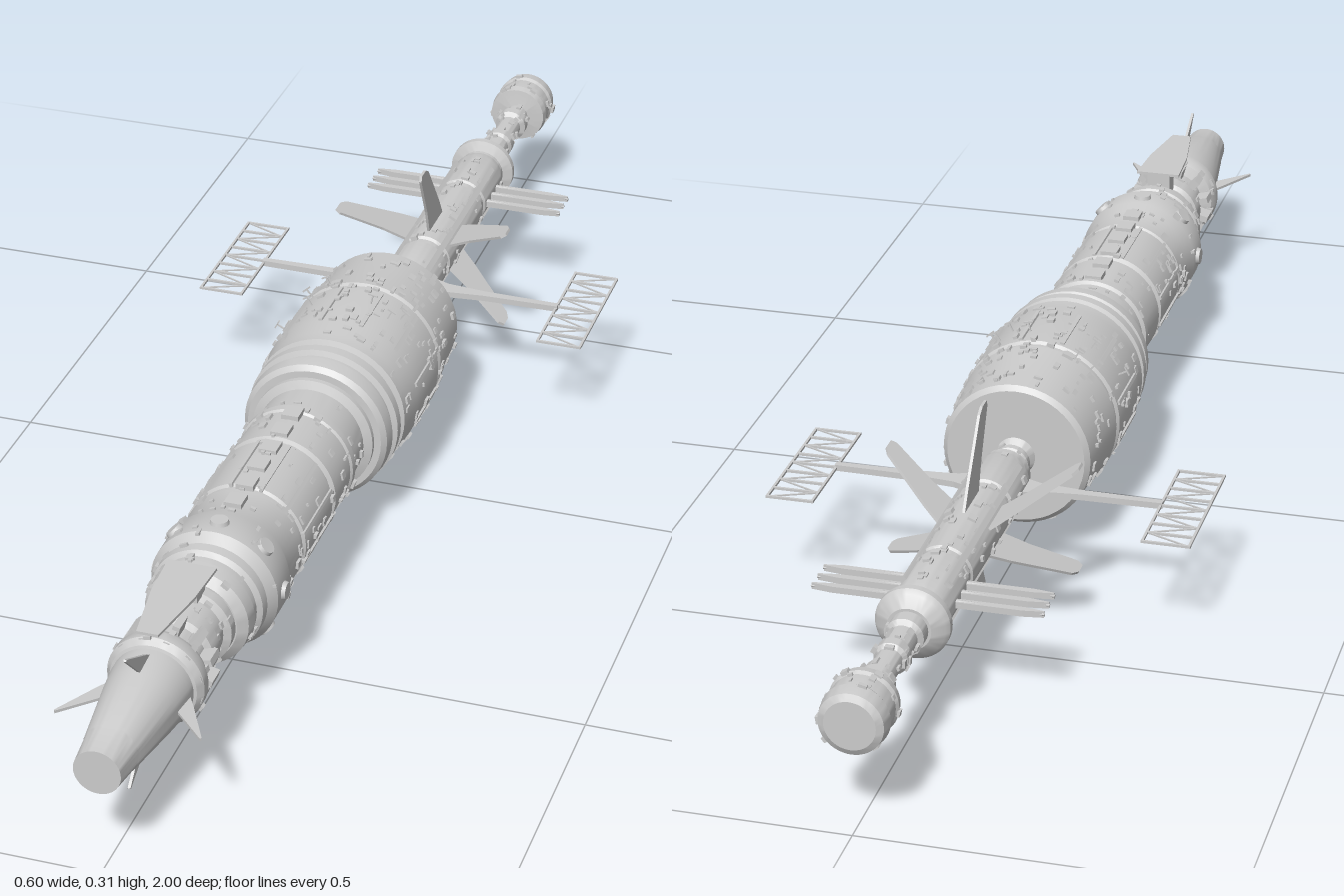
import * as THREE from 'three';
import { mergeGeometries, toCreasedNormals } from 'three/addons/utils/BufferGeometryUtils.js';

const AXIS = 0.157; // height of the long axis
const mat = new THREE.MeshStandardMaterial({ color: 0xcccccc, side: THREE.DoubleSide });

// Hull profiles as [z, radius], from back to front
const PROFILES = {
  tailCap: [[-1, 0], [-1, .034], [-.995, .043], [-.975, .046], [-.97, .043], [-.945, .043], [-.94, .046], [-.928, .044], [-.925, .02], [-.92, 0]],
  tailBoom: [[-.93, .018], [-.905, .018], [-.9, .025], [-.885, .025], [-.88, .018], [-.83, .018], [-.825, .023], [-.81, .023], [-.805, .019], [-.77, .019], [-.765, .026], [-.74, .026]],
  tailFlange: [[-.745, 0], [-.745, .03], [-.735, .046], [-.728, .051], [-.718, .051], [-.712, .036], [-.7, .036], [-.69, 0]],
  aftBody: [[-.72, 0], [-.71, .035], [-.69, .04], [-.6, .04], [-.597, .037], [-.585, .037], [-.582, .04], [-.5, .041], [-.4, .041], [-.397, .037], [-.385, .037], [-.382, .041], [-.3, .041], [-.285, .036], [-.275, .036], [-.27, 0]],
  neck: [[-.29, .03], [-.27, .03], [-.26, .016], [-.25, .026], [-.24, .026], [-.235, .018], [-.215, .034]],
  mainDrum: [[-.222, 0], [-.222, .1], [-.215, .107], [-.15, .111], [-.1, .116], [-.095, .113], [-.088, .113], [-.084, .117], [.02, .117], [.05, .113], [.07, .113], [.073, .105], [.082, .105], [.085, .112], [.1, .112], [.103, .104], [.112, .104], [.115, .109], [.135, .107], [.142, .1], [.145, 0]],
  midBody: [[.13, .09], [.15, .09], [.155, .078], [.21, .08], [.213, .085], [.225, .085], [.228, .082], [.3, .084], [.303, .078], [.312, .078], [.315, .084], [.43, .084], [.433, .08], [.442, .08], [.445, .083], [.5, .083], [.515, .09], [.565, .09], [.58, .08], [.595, .079], [.6, .072], [.612, .072], [.615, .075], [.635, .073], [.645, .06], [.648, 0]],
  frontNeck: [[.63, .058], [.66, .058], [.665, .048], [.69, .048], [.695, .054], [.72, .054], [.725, .046], [.76, .046], [.765, .062], [.775, .067], [.79, .067], [.8, .06], [.805, .045]],
  noseCone: [[.79, .056], [.815, .056], [.85, .052], [.95, .038], [.953, .037], [1, .032], [1, 0]],
};

function add(group, name, geo) {
  const m = new THREE.Mesh(geo, mat);
  m.name = name;
  group.add(m);
  return m;
}

function hull(profile) {
  const pts = profile.map(([z, r]) => new THREE.Vector2(r, z));
  return toCreasedNormals(new THREE.LatheGeometry(pts, 48).rotateX(Math.PI / 2), 0.5);
}

function radiusAt(profile, z) {
  for (let i = 1; i < profile.length; i++) {
    const [z0, r0] = profile[i - 1], [z1, r1] = profile[i];
    if (z >= z0 && z <= z1 && z1 > z0) return r0 + (r1 - r0) * (z - z0) / (z1 - z0);
  }
  return 0;
}

// Box whose centre sits at radius r and angle a; h is its radial height
function radialBox(w, h, l, r, a, z) {
  return new THREE.BoxGeometry(h, w, l).translate(r, 0, z).rotateZ(a);
}

// Flat blade drawn as [radius, z] corners and turned to angle a
function blade(corners, thickness, a) {
  const shape = new THREE.Shape(corners.map(([r, z]) => new THREE.Vector2(r, z)));
  return new THREE.ExtrudeGeometry(shape, { depth: thickness, bevelEnabled: false })
    .translate(0, 0, -thickness / 2).rotateX(Math.PI / 2).rotateZ(a);
}

// Thin bar between two points in the x-z plane
function bar(x0, z0, x1, z1, t = .0035) {
  const dx = x1 - x0, dz = z1 - z0;
  return new THREE.BoxGeometry(t, t, Math.hypot(dx, dz) + t)
    .rotateY(Math.atan2(dx, dz)).translate((x0 + x1) / 2, 0, (z0 + z1) / 2);
}

function makeRandom(seed) {
  return () => {
    seed = (seed * 16807) % 2147483647;
    return seed / 2147483647;
  };
}

// Small plates and blocks scattered over a hull section
function greebles(profile, z0, z1, count, rnd) {
  const list = [];
  for (let i = 0; i < count; i++) {
    const z = z0 + (z1 - z0) * rnd(), a = rnd() * Math.PI * 2;
    const h = .003 + .004 * rnd();
    list.push(radialBox(.003 + .009 * rnd(), h, .003 + .011 * rnd(), radiusAt(profile, z) + h * .15, a, z));
  }
  return mergeGeometries(list);
}

export function createModel() {
  const model = new THREE.Group();
  model.name = 'spaceship';
  const ship = new THREE.Group();
  ship.name = 'ship';
  ship.position.y = AXIS;
  model.add(ship);
  const rnd = makeRandom(4711);

  for (const [name, profile] of Object.entries(PROFILES)) add(ship, name, hull(profile));

  // Surface detail
  const detail = [
    ['mainDrum', -.21, .06, 260], ['midBody', .16, .57, 200], ['midBody', .58, .64, 30],
    ['frontNeck', .65, .79, 90], ['aftBody', -.69, -.29, 110], ['tailBoom', -.92, -.75, 50],
    ['tailCap', -.99, -.93, 20], ['neck', -.28, -.22, 16],
  ];
  for (const [part, z0, z1, n] of detail) add(ship, part + 'Details', greebles(PROFILES[part], z0, z1, n, rnd));

  // Lengthwise ribs and pipes
  const ribs = [];
  for (let i = 0; i < 12; i++) {
    const a = (i + .5) * Math.PI / 6;
    ribs.push(radialBox(.006, .006, .1, .117, a, -.03));
    ribs.push(radialBox(.005, .006, .12, .084, a, .375));
    ribs.push(radialBox(.008, .016, .03, .058, a, .778));
    ribs.push(radialBox(.01, .02, .03, .056, a, .74));
  }
  for (let i = 0; i < 4; i++) ribs.push(radialBox(.008, .008, .36, .04, Math.PI / 4 + i * Math.PI / 2, -.49));
  add(ship, 'hullRibs', mergeGeometries(ribs));

  // Hatches along the spine, with round ports on the forward ring
  const hatches = [];
  for (let i = 0; i < 6; i++) hatches.push(radialBox(.025, .008, .028, .085, Math.PI / 2, .235 + i * .048));
  for (let i = 0; i < 8; i++) {
    hatches.push(new THREE.CylinderGeometry(.012, .014, .008, 16).rotateZ(-Math.PI / 2)
      .translate(.091, 0, .54).rotateZ(i * Math.PI / 4));
  }
  add(ship, 'hatches', mergeGeometries(hatches));

  // Small T-shaped aerials on the upper drum and body
  const aerials = [];
  for (const deg of [48, 54, 62, 78, 118, 124, 132, 152]) {
    const a = deg * Math.PI / 180, z = -.12 + rnd() * .14;
    aerials.push(radialBox(.002, .018, .002, .122, a, z));
    aerials.push(radialBox(.014, .002, .003, .131, a, z));
  }
  add(ship, 'aerials', mergeGeometries(aerials));

  // Six forward-swept stabiliser fins
  for (let i = 0; i < 6; i++) {
    add(ship, 'tailFin', blade([[.036, -.49], [.07, -.468], [.15, -.408], [.157, -.395], [.157, -.375], [.148, -.372], [.08, -.405], [.036, -.42]],
      .004, Math.PI / 2 + i * Math.PI / 3));
  }

  // Four forward-pointing nose spikes
  for (let i = 0; i < 4; i++) {
    add(ship, 'noseSpike', blade([[.048, .8], [.066, .83], [.1, .893], [.098, .895], [.048, .845]], .004, i * Math.PI / 2));
  }

  // Dorsal plate over the front neck, on a mounting block
  const plate = new THREE.Shape([[-.034, -.645], [.034, -.645], [.03, -.72], [.015, -.815], [-.015, -.815], [-.03, -.72]]
    .map(([x, y]) => new THREE.Vector2(x, y)));
  add(ship, 'dorsalPlate', new THREE.ExtrudeGeometry(plate, { depth: .004, bevelEnabled: false })
    .rotateX(-Math.PI / 2).translate(0, .086, 0));
  add(ship, 'plateMount', new THREE.BoxGeometry(.036, .035, .03).translate(0, .07, .665));

  for (const side of [1, -1]) {
    const a = side > 0 ? 0 : Math.PI;
    // Three thin radiator blades
    for (const z of [-.61, -.636, -.662]) {
      add(ship, 'radiatorBlade', new THREE.CylinderGeometry(.002, .006, .122, 8)
        .scale(1, 1, .9).rotateZ(-Math.PI / 2).translate(.098, 0, z).rotateZ(0).scale(side, 1, 1).applyMatrix4(new THREE.Matrix4()));
    }
    for (const z of [-.61, -.636, -.662]) add(ship, 'radiatorVane', blade([[.03, z - .005], [.13, z - .005], [.158, z - .001], [.158, z + .001], [.13, z + .005], [.03, z + .005]], .009, a));

    // Tapered boom carrying the panel
    add(ship, 'panelBoom', blade([[.03, -.342], [.06, -.33], [.12, -.324], [.235, -.322], [.235, -.312], [.12, -.31], [.06, -.304], [.03, -.292]], .009, a));

    // Open lattice panel with rungs and zigzag braces
    const x0 = .233, x1 = .298, z0 = -.43, z1 = -.21, cells = 8;
    const bars = [bar(x0, z0, x0, z1), bar(x1, z0, x1, z1)];
    for (let i = 0; i <= cells; i++) {
      const z = z0 + (z1 - z0) * i / cells, zn = z + (z1 - z0) / cells;
      bars.push(bar(x0, z, x1, z));
      if (i < cells) bars.push(i % 2 ? bar(x0, z, x1, zn, .002) : bar(x1, z, x0, zn, .002));
    }
    add(ship, 'latticePanel', mergeGeometries(bars).rotateZ(a));
  }
  return model;
}
